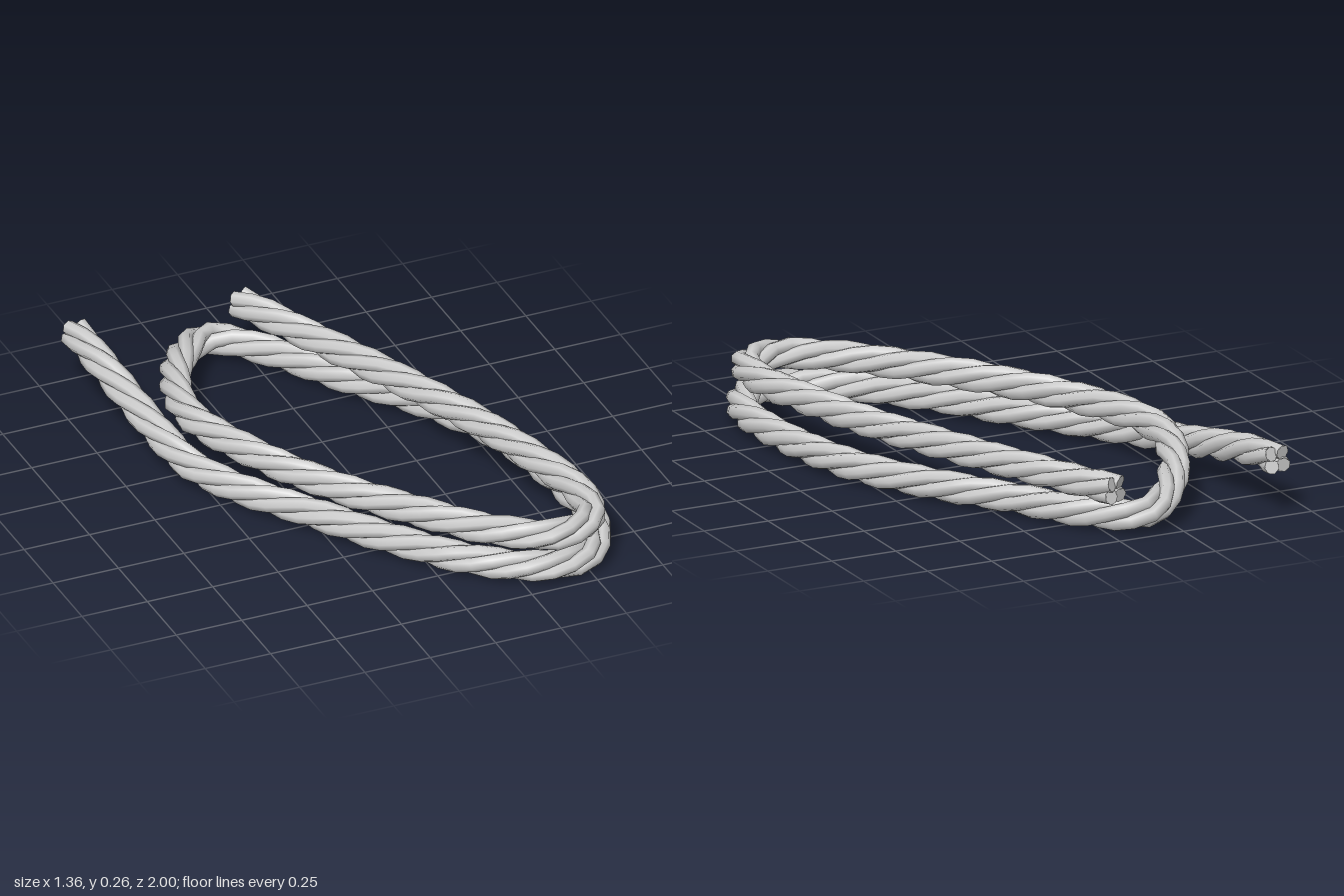
import * as THREE from 'three';

const STRANDS = 4, OFFSET = 0.032, RADIUS = 0.027, PITCH = 0.64;
const SEGMENTS = 130, SIDES = 7;

// Centre line of the coiled rope: raised tail, lower turn, climb, upper turn
const centre = new THREE.CatmullRomCurve3([
  [-0.625, 0.208, -0.98], [-0.615, 0.192, -0.8], [-0.595, 0.155, -0.6], [-0.565, 0.105, -0.35],
  [-0.535, 0.082, -0.18], [-0.46, 0.07, -0.02], [-0.28, 0.065, 0.25], [-0.08, 0.064, 0.55],
  [0.13, 0.064, 0.8], [0.33, 0.064, 0.925], [0.48, 0.064, 0.925], [0.592, 0.064, 0.78],
  [0.618, 0.064, 0.52], [0.545, 0.064, 0.05], [0.4, 0.064, -0.26], [0.215, 0.064, -0.53],
  [0.03, 0.066, -0.82], [-0.13, 0.078, -0.95], [-0.32, 0.125, -0.77], [-0.44, 0.162, -0.5],
  [-0.46, 0.173, -0.32], [-0.395, 0.178, -0.08], [-0.235, 0.178, 0.25], [-0.03, 0.18, 0.55],
  [0.2, 0.18, 0.82], [0.38, 0.183, 0.93], [0.53, 0.185, 0.87], [0.562, 0.185, 0.67],
  [0.52, 0.185, 0.45], [0.43, 0.183, 0.1], [0.3, 0.182, -0.26], [0.16, 0.182, -0.6],
  [0, 0.185, -0.97],
].map((p) => new THREE.Vector3(...p)), false, 'centripetal');
centre.arcLengthDivisions = 1000;
const LENGTH = centre.getLength();

// One strand winds around the centre line as a left-handed helix
class StrandCurve extends THREE.Curve {
  constructor(phase) {
    super();
    this.phase = phase;
  }

  getPoint(t, target = new THREE.Vector3()) {
    const tangent = centre.getTangentAt(t);
    const side = new THREE.Vector3(0, 1, 0).cross(tangent).normalize();
    const up = tangent.clone().cross(side);
    const angle = this.phase - (2 * Math.PI * LENGTH * t) / PITCH;
    return target.copy(centre.getPointAt(t))
      .addScaledVector(side, OFFSET * Math.cos(angle))
      .addScaledVector(up, OFFSET * Math.sin(angle));
  }
}

function endCap(curve, t, material) {
  const cap = new THREE.Mesh(new THREE.CircleGeometry(RADIUS, SIDES), material);
  const outward = curve.getTangent(t).multiplyScalar(t === 0 ? -1 : 1);
  cap.position.copy(curve.getPoint(t));
  cap.quaternion.setFromUnitVectors(new THREE.Vector3(0, 0, 1), outward);
  cap.name = t === 0 ? 'tailEndCap' : 'upperEndCap';
  return cap;
}

export function createModel() {
  const model = new THREE.Group();
  model.name = 'coiledRope';
  const material = new THREE.MeshStandardMaterial({ color: 0xcccccc, side: THREE.DoubleSide });

  // Twisted strands, each closed at both ends
  for (let i = 0; i < STRANDS; i++) {
    const curve = new StrandCurve(((i + 0.5) * 2 * Math.PI) / STRANDS);
    const strand = new THREE.Group();
    strand.name = `strand${i + 1}`;
    const tube = new THREE.Mesh(new THREE.TubeGeometry(curve, SEGMENTS, RADIUS, SIDES), material);
    tube.name = 'strandBody';
    strand.add(tube, endCap(curve, 0, material), endCap(curve, 1, material));
    model.add(strand);
  }
  return model;
}
